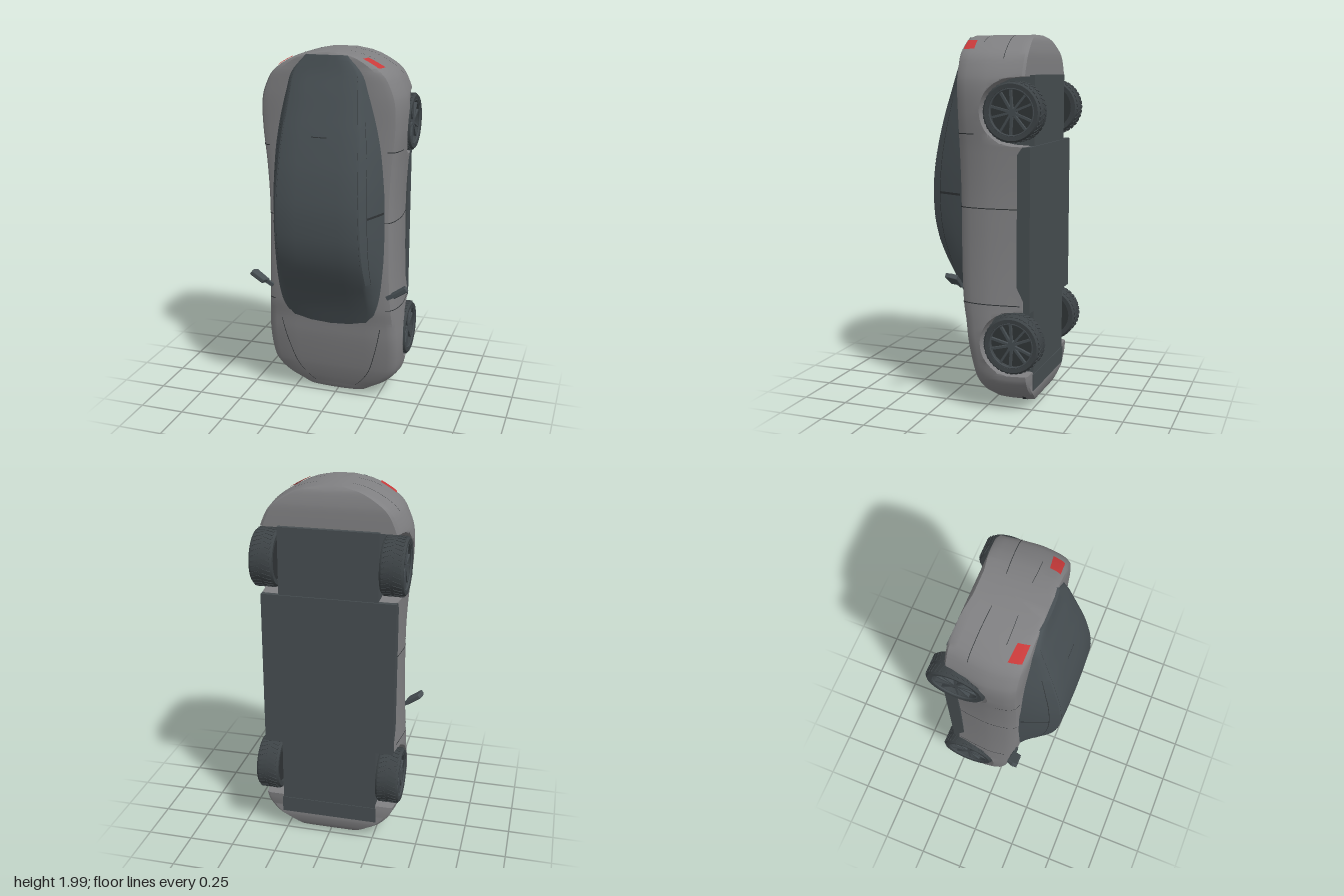
import * as THREE from 'three';
import { toCreasedNormals } from 'three/addons/utils/BufferGeometryUtils.js';

const mat = (name, color, side = THREE.FrontSide) => {
  const m = new THREE.MeshStandardMaterial({ color, side });
  m.name = name;
  return m;
};

// Car length runs along y (nose at 0), car-up is +z.
const WHEEL_Y = [0.395, 1.605], WHEEL_Z = -0.18, ARCH_R = 0.172;

// y, half width, deck height, underside height
const BODY = [
  [0.004, 0.06, -0.06, -0.20], [0.03, 0.17, -0.02, -0.235], [0.06, 0.225, -0.005, -0.25],
  [0.1, 0.295, 0.012, -0.26], [0.15, 0.35, 0.03, -0.26], [0.2, 0.38, 0.045, -0.26],
  [0.3, 0.395, 0.068, -0.255], [0.4, 0.398, 0.087, -0.25], [0.5, 0.392, 0.1, -0.245],
  [0.6, 0.383, 0.118, -0.245], [0.8, 0.372, 0.13, -0.245], [1.0, 0.367, 0.133, -0.245],
  [1.2, 0.367, 0.135, -0.245], [1.4, 0.378, 0.138, -0.245], [1.6, 0.397, 0.14, -0.24],
  [1.75, 0.393, 0.145, -0.237], [1.85, 0.355, 0.148, -0.237], [1.9, 0.315, 0.15, -0.235],
  [1.95, 0.235, 0.15, -0.225], [1.98, 0.16, 0.15, -0.215], [1.997, 0.07, 0.14, -0.2],
];
// half section: width fraction, height fraction
const SECTION = [[0, 0], [0.9, 0], [0.945, 0.03], [0.955, 0.12], [0.97, 0.22], [0.985, 0.35], [1, 0.5],
  [1, 0.6], [0.99, 0.7], [0.975, 0.8], [0.95, 0.89], [0.91, 0.95], [0.82, 0.985], [0.5, 1], [0, 1]];

// y, base half width, roof half width, roof height
const GLASS = [
  [0.48, 0.29, 0.22, 0.096], [0.6, 0.305, 0.24, 0.146], [0.7, 0.315, 0.24, 0.195], [0.8, 0.321, 0.24, 0.25],
  [0.9, 0.324, 0.237, 0.295], [1.0, 0.325, 0.235, 0.322], [1.1, 0.325, 0.233, 0.333], [1.2, 0.325, 0.23, 0.335],
  [1.3, 0.323, 0.228, 0.327], [1.4, 0.318, 0.222, 0.313], [1.5, 0.308, 0.218, 0.292], [1.6, 0.292, 0.21, 0.268],
  [1.7, 0.272, 0.2, 0.24], [1.8, 0.248, 0.19, 0.212], [1.9, 0.215, 0.175, 0.182], [1.985, 0.13, 0.11, 0.165],
];

// Smooth interpolation of one table column
function at(table, y, c) {
  const n = table.length;
  let i = 0;
  while (i < n - 2 && y > table[i + 1][0]) i++;
  const slope = (k) => {
    const a = table[Math.max(k - 1, 0)], b = table[Math.min(k + 1, n - 1)];
    return (b[c] - a[c]) / (b[0] - a[0]);
  };
  const h = table[i + 1][0] - table[i][0], t = (y - table[i][0]) / h, t2 = t * t, t3 = t2 * t;
  return (2 * t3 - 3 * t2 + 1) * table[i][c] + (t3 - 2 * t2 + t) * h * slope(i)
    + (3 * t2 - 2 * t3) * table[i + 1][c] + (t3 - t2) * h * slope(i + 1);
}

function along(points, s) {
  const i = Math.min(Math.floor(s), points.length - 2), f = s - i;
  return points[i].map((v, k) => v + (points[i + 1][k] - v) * f);
}

function bodyPoint(y, s) {
  const w = at(BODY, y, 1), top = at(BODY, y, 2), bottom = at(BODY, y, 3);
  const [fx, t] = along(SECTION, s);
  let z = bottom + (top - bottom) * t;
  for (const c of WHEEL_Y) { // wheel arch cut-outs
    const d = Math.abs(y - c);
    if (d < ARCH_R) z = Math.max(z, WHEEL_Z + Math.sqrt(ARCH_R * ARCH_R - d * d));
  }
  return new THREE.Vector3(w * fx, y, z);
}

function glassPoint(y, s) {
  const b = at(GLASS, y, 1), r = at(GLASS, y, 2), z = at(GLASS, y, 3), z0 = Math.min(0.09, z - 0.015);
  const h = z - 0.014 - z0;
  const [px, pz] = along([[b, z0], [b + (r - b) * 0.3, z0 + h * 0.36], [b + (r - b) * 0.66, z0 + h * 0.72],
    [r, z0 + h], [r * 0.93, z - 0.008], [r * 0.5, z - 0.002], [0, z]], s);
  return new THREE.Vector3(px, y, pz);
}

function grid(rows) {
  const pos = [], idx = [], n = rows[0].length;
  rows.forEach((row, i) => row.forEach((p, j) => {
    pos.push(p.x, p.y, p.z);
    if (i && j) {
      const d = i * n + j, c = d - 1, b = d - n, a = b - 1;
      idx.push(a, c, b, b, c, d);
    }
  }));
  const g = new THREE.BufferGeometry();
  g.setAttribute('position', new THREE.Float32BufferAttribute(pos, 3));
  g.setIndex(idx);
  g.computeVertexNormals();
  return g;
}

// Mirrored cross-sections joined along the car, with both ends closed
function loft(point, count, ys) {
  const rows = ys.map((y) => {
    const half = [];
    for (let s = 0; s < count; s++) half.push(point(y, s));
    const other = half.slice(0, -1).reverse().map((p) => new THREE.Vector3(-p.x, p.y, p.z));
    return [...half, ...other];
  });
  const cap = (row) => {
    const z = (row[0].z + row[count - 1].z) / 2;
    return row.map((p) => new THREE.Vector3(0, p.y, z));
  };
  return toCreasedNormals(grid([cap(rows[0]), ...rows, cap(rows[rows.length - 1])]), 0.6);
}

// Thin skin lying just above a lofted surface, between section positions a..b at each end
function skin(point, y0, y1, [a0, b0], [a1, b1], lift = 0.003) {
  const rows = [], e = 0.002;
  for (let i = 0; i <= 20; i++) {
    const f = i / 20, y = y0 + (y1 - y0) * f, a = a0 + (a1 - a0) * f, b = b0 + (b1 - b0) * f, row = [];
    for (let j = 0; j <= 12; j++) {
      const s = a + (b - a) * j / 12, p = point(y, s);
      const n = point(y + e, s).sub(point(y - e, s)).cross(point(y, s + e).sub(point(y, Math.max(s - e, 0))));
      row.push(p.addScaledVector(n.normalize(), lift));
    }
    rows.push(row);
  }
  return grid(rows);
}

export function createModel() {
  const car = new THREE.Group();
  car.name = 'car';
  const paint = mat('bodyGrey', 0x808082), glass = mat('darkGlass', 0x485054), floor = mat('floorGrey', 0x464d50);
  const rubber = mat('tyreRubber', 0x3d4346), rim = mat('rimGrey', 0x454c50);
  const seam = mat('seamDark', 0x303436, THREE.DoubleSide), red = mat('lampRed', 0xc83a3a, THREE.DoubleSide);
  const add = (name, geo, m, parent = car) => {
    const mesh = new THREE.Mesh(geo, m);
    mesh.name = name;
    parent.add(mesh);
    return mesh;
  };
  const pair = (name, geo, m) => {
    add(name + 'Left', geo, m);
    add(name + 'Right', geo, m).scale.x = -1;
  };
  const box = (name, w, h, d, x, y, z, m, parent) => {
    const b = add(name, new THREE.BoxGeometry(w, h, d), m, parent);
    b.position.set(x, y, z);
    return b;
  };

  // Body shell and cabin
  const ys = BODY.map((r) => r[0]);
  for (let i = 1; i < 130; i++) ys.push(0.004 + 1.993 * i / 130);
  for (const c of WHEEL_Y) for (const k of [-1, 1]) ys.push(c + k * ARCH_R, c + k * (ARCH_R - 0.0004), c + k * (ARCH_R - 0.004));
  ys.sort((a, b) => a - b);
  add('bodyShell', loft(bodyPoint, SECTION.length, ys), paint);
  const gy = Array.from({ length: 61 }, (_, i) => 0.48 + 1.505 * i / 60);
  add('cabin', loft(glassPoint, 7, gy), glass);

  // Underfloor
  box('floorMiddle', 0.72, 0.862, 0.07, 0, 0.998, -0.235, floor);
  box('floorSpine', 0.53, 1.61, 0.26, 0, 0.985, -0.132, floor);
  box('chinPlate', 0.54, 0.09, 0.01, 0, 0.165, -0.261, floor);

  // Tail lamps
  pair('tailLamp', skin(bodyPoint, 1.918, 1.965, [8.6, 10.6], [8.9, 10.9], 0.005), red);

  // Door, hood and bumper seams
  for (const y of [0.6, 1.105]) pair('doorSeam', skin(bodyPoint, y, y + 0.005, [2.5, 11.8], [2.5, 11.8]), seam);
  pair('rearDoorSeam', skin(bodyPoint, 1.49, 1.495, [8, 11.8], [8, 11.8]), seam);
  pair('hoodSeam', skin(bodyPoint, 0.07, 0.48, [13, 13.03], [12.25, 12.28]), seam);
  pair('bumperSeam', skin(bodyPoint, 1.87, 1.994, [4.6, 4.66], [4.6, 4.66]), seam);
  pair('trunkSeam', skin(bodyPoint, 1.955, 1.994, [7.7, 7.76], [7.7, 7.76]), seam);
  pair('frontIntake', skin(bodyPoint, 0.012, 0.07, [3.6, 4.6], [3.7, 4.2]), seam);

  // Window outlines and roof seams
  pair('roofSeam', skin(glassPoint, 0.9, 1.9, [3.5, 3.55], [3.5, 3.55], 0.002), seam);
  pair('windowTop', skin(glassPoint, 0.78, 1.66, [2.2, 2.25], [2.2, 2.25], 0.002), seam);
  pair('windowPillar', skin(glassPoint, 1.16, 1.172, [0.5, 2.2], [0.5, 2.2], 0.002), seam);
  pair('rearScreenSeam', skin(glassPoint, 1.578, 1.583, [5.6, 5.99], [5.6, 5.99], 0.002), seam);

  // Door mirrors
  for (const k of [-1, 1]) {
    const mirror = new THREE.Group();
    mirror.name = k > 0 ? 'mirrorLeft' : 'mirrorRight';
    const shape = new THREE.Shape([[-0.045, -0.02], [0.035, -0.025], [0.05, 0.005], [0.048, 0.026], [-0.03, 0.022]]
      .map(([x, y]) => new THREE.Vector2(x, y)));
    const shell = new THREE.ExtrudeGeometry(shape, { depth: 0.016, bevelSize: 0.005, bevelThickness: 0.006, bevelSegments: 2 });
    const head = add('mirrorHead', shell.rotateX(Math.PI / 2), glass, mirror);
    head.rotation.z = 0.6;
    head.position.set(0.4, 0.735, 0.132);
    box('mirrorStalk', 0.06, 0.022, 0.014, 0.358, 0.695, 0.118, glass, mirror).rotation.z = 0.5;
    mirror.scale.x = k;
    car.add(mirror);
  }

  // Wheels: axis along x, outer face at +x
  const tyre = toCreasedNormals(new THREE.LatheGeometry([[0.118, -0.06], [0.143, -0.062], [0.151, -0.052], [0.153, -0.03],
    [0.153, 0.03], [0.151, 0.052], [0.143, 0.062], [0.122, 0.06], [0.118, 0.045], [0.118, -0.06]]
    .map(([r, h]) => new THREE.Vector2(r, h)), 48), 0.6).rotateZ(-Math.PI / 2);
  const disc = new THREE.CylinderGeometry(0.119, 0.119, 0.07, 40).rotateZ(-Math.PI / 2);
  const lip = new THREE.TorusGeometry(0.118, 0.005, 8, 48).rotateY(Math.PI / 2);
  const hub = new THREE.CylinderGeometry(0.02, 0.026, 0.026, 20).rotateZ(-Math.PI / 2);
  for (const y of WHEEL_Y) for (const k of [-1, 1]) {
    const wheel = new THREE.Group();
    wheel.name = (y < 1 ? 'front' : 'rear') + (k > 0 ? 'WheelLeft' : 'WheelRight');
    add('tyre', tyre, rubber, wheel);
    add('rimDisc', disc, seam, wheel).position.x = -0.01;
    add('rimLip', lip, rim, wheel).position.x = 0.054;
    add('hub', hub, rim, wheel).position.x = 0.036;
    for (let i = 0; i < 10; i++) {
      const a = i * Math.PI / 5 + (i % 2 ? -0.07 : 0.07);
      const spoke = box('spoke', 0.018, 0.1, 0.012, 0.04, Math.cos(a) * 0.067, Math.sin(a) * 0.067, rim, wheel);
      spoke.rotation.x = a;
    }
    for (let i = 0; i < 36; i++) for (const side of [-1, 1]) { // slanted tread blocks
      const a = (i + side * 0.25) * Math.PI / 18, lug = new THREE.Group();
      lug.name = 'treadBlock';
      lug.rotation.x = a;
      box('tread', 0.046, 0.006, 0.017, side * 0.028, 0.152, 0, rubber, lug).rotation.y = side * 0.35;
      wheel.add(lug);
    }
    wheel.position.set(k * 0.338, y, WHEEL_Z);
    wheel.scale.x = k;
    car.add(wheel);
  }
  return car;
}
